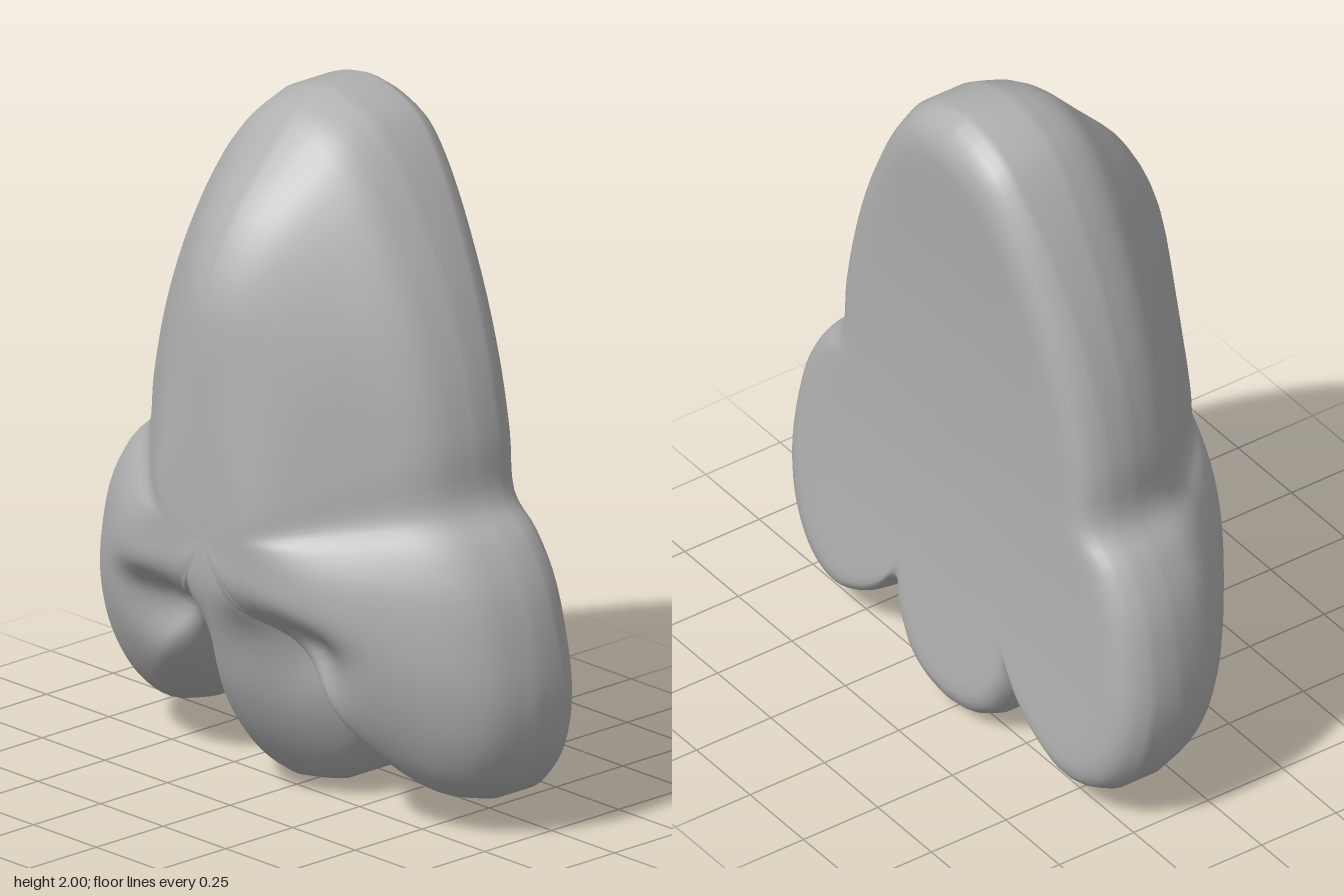
import * as THREE from 'three';
import { mergeVertices } from 'three/addons/utils/BufferGeometryUtils.js';

const CENTRE_Y = 0.8;
const STEPS = 4; // spokes per outline segment
const FRONT_RINGS = 28;
const BACK_RINGS = 14;

// Left half of the silhouette: bridge, wing, notch, tip
const OUTLINE = [
  [0, 2], [0.1, 1.98], [0.21, 1.92], [0.33, 1.77], [0.45, 1.55], [0.535, 1.33], [0.585, 1.12],
  [0.605, 0.94], [0.7, 0.84], [0.78, 0.69], [0.82, 0.46], [0.8, 0.29], [0.74, 0.17],
  [0.66, 0.1], [0.56, 0.075], [0.45, 0.11], [0.36, 0.17], [0.28, 0.25],
  [0.25, 0.17], [0.19, 0.08], [0.1, 0.02], [0, 0],
];

// Front depth along a spoke, from centre to rim, at key outline points
const LEVELS = [0, 0.15, 0.3, 0.45, 0.6, 0.75, 0.88, 0.96, 1];
const PROFILES = [
  { at: 0, z: [0.357, 0.357, 0.355, 0.35, 0.325, 0.24, 0.1, 0, -0.13] }, // top
  { at: 6, z: [0.357, 0.357, 0.35, 0.29, 0.21, 0.125, 0.05, -0.03, -0.14] }, // side
  { at: 10, z: [0.357, 0.355, 0.34, 0.305, 0.24, 0.15, 0.06, -0.03, -0.15] }, // wing
  { at: 14, z: [0.357, 0.355, 0.315, 0.265, 0.205, 0.13, 0.045, -0.04, -0.15] }, // wing base
  { at: 17, z: [0.357, 0.356, 0.335, 0.26, 0.17, 0.1, 0.03, -0.03, -0.1] }, // notch
  { at: 21, z: [0.357, 0.357, 0.33, 0.285, 0.235, 0.165, 0.08, 0, -0.1] }, // tip
];

// Blend the neighbouring key profiles into one smooth spoke curve
function frontCurve(at) {
  let k = 0;
  while (k < PROFILES.length - 2 && at > PROFILES[k + 1].at) k++;
  const a = PROFILES[k], b = PROFILES[k + 1];
  const t = THREE.MathUtils.smoothstep(at, a.at, b.at);
  return new THREE.SplineCurve(LEVELS.map((s, i) =>
    new THREE.Vector2(s, THREE.MathUtils.lerp(a.z[i], b.z[i], t))));
}

// Hollow of each nostril, steeper along its upper edge
function nostril(x, y) {
  const dx = (Math.abs(x) - 0.26) / 0.16, dy = (y - 0.52) / (y > 0.52 ? 0.08 : 0.13);
  return 0.12 * Math.exp(-dx * dx - dy * dy);
}

// Gently bowed back, with a rounded rim given as offsets from it
const backPlane = (y) => -0.3 - 0.06 * Math.min(1, ((y - 1) / 0.9) ** 2);
const backCurve = new THREE.SplineCurve([
  [1, 0.1], [0.972, 0.045], [0.92, 0.012], [0.83, 0], [0.6, 0], [0.3, 0], [0, 0],
].map(([s, z]) => new THREE.Vector2(s, z)));

function noseGeometry() {
  const outline = new THREE.SplineCurve(OUTLINE.map(([x, y]) => new THREE.Vector2(x, y)));
  const half = (OUTLINE.length - 1) * STEPS;
  const spokes = half * 2;
  const rings = FRONT_RINGS + BACK_RINGS + 2;
  const positions = [];
  const index = [];

  for (let i = 0; i < spokes; i++) {
    const n = i <= half ? i : spokes - i; // mirror the second half
    const rim = outline.getPoint(n / half);
    rim.x = n === 0 || n === half ? 0 : rim.x * (i <= half ? 1 : -1);
    const front = frontCurve(n / STEPS);
    for (let j = 0; j < rings; j++) {
      const isFront = j <= FRONT_RINGS;
      const p = isFront
        ? front.getPoint(j / FRONT_RINGS)
        : backCurve.getPoint((j - FRONT_RINGS - 1) / BACK_RINGS);
      const x = rim.x * p.x;
      const y = CENTRE_Y + (rim.y - CENTRE_Y) * p.x;
      positions.push(x, y, isFront ? p.y - nostril(x, y) : backPlane(y) + p.y);
    }
  }
  // Quads between neighbouring spokes, single triangles at both centres
  for (let i = 0; i < spokes; i++) {
    const a = i * rings, b = ((i + 1) % spokes) * rings;
    for (let j = 0; j < rings - 1; j++) {
      if (j > 0) index.push(a + j, b + j + 1, b + j);
      if (j < rings - 2) index.push(a + j, a + j + 1, b + j + 1);
    }
  }
  // Wind the faces outward
  for (let k = 0; k < index.length; k += 3) {
    [index[k + 1], index[k + 2]] = [index[k + 2], index[k + 1]];
  }
  const geometry = new THREE.BufferGeometry();
  geometry.setAttribute('position', new THREE.Float32BufferAttribute(positions, 3));
  geometry.setIndex(index);
  const merged = mergeVertices(geometry, 1e-5);
  merged.computeVertexNormals();
  return merged;
}

export function createModel() {
  const group = new THREE.Group();
  group.name = 'noseModel';
  const grey = new THREE.MeshStandardMaterial({ color: 0xb0b0b0 });
  grey.name = 'grey';
  const nose = new THREE.Mesh(noseGeometry(), grey);
  nose.name = 'nose';
  group.add(nose);
  return group;
}
